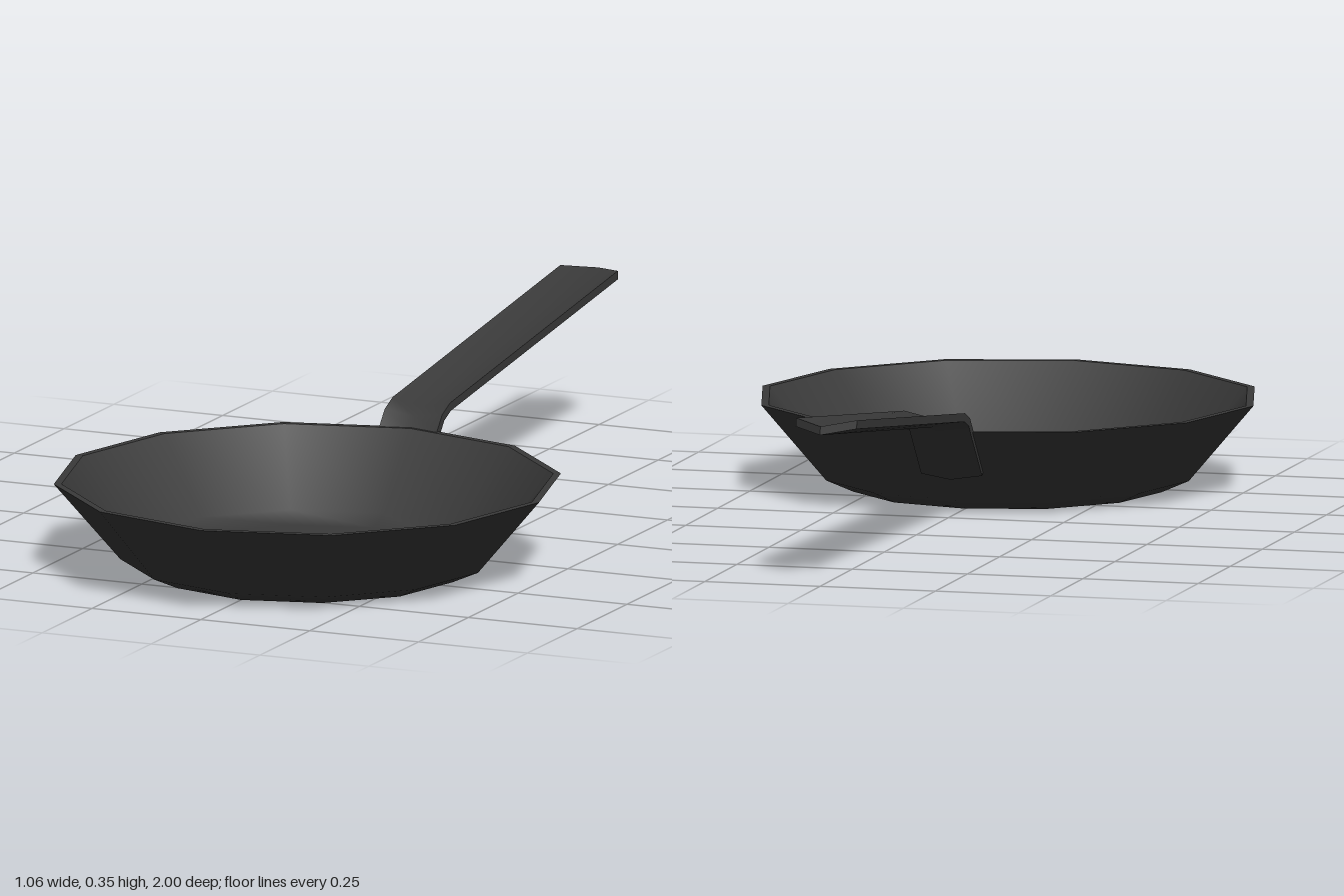
import * as THREE from 'three';
import { toCreasedNormals } from 'three/addons/utils/BufferGeometryUtils.js';

const PAN_Z = 0.465;
const SIDES = 12;

const castIron = new THREE.MeshStandardMaterial({ color: 0x3a3a3a });
castIron.name = 'dark iron';

// One smooth turned surface; each gets its own normals so the rim edges stay sharp
function turned(name, profile) {
  const points = profile.map(([r, y]) => new THREE.Vector2(r, y));
  const mesh = new THREE.Mesh(new THREE.LatheGeometry(points, SIDES), castIron);
  mesh.name = name;
  return mesh;
}

// V-section strap: each section is [z, y of the side edge, normal z, normal y, tip shift z, tip shift y]
function strapGeometry(sections, halfWidth, dip, thickness) {
  const rings = sections.map(([z, y, nz, ny, tz = 0, ty = 0]) => {
    const point = (x, depth, middle) =>
      [x, y + ny * depth + middle * ty, z + nz * depth + middle * tz];
    return [
      point(halfWidth, 0, 0), point(0, dip, 1), point(-halfWidth, 0, 0),
      point(-halfWidth, thickness, 0), point(0, dip + thickness, 1), point(halfWidth, thickness, 0),
    ];
  });
  const positions = [];
  const quad = (a, b, c, d) => positions.push(...a, ...b, ...c, ...a, ...c, ...d);

  // Long faces
  for (let s = 0; s < rings.length - 1; s++) {
    const near = rings[s], far = rings[s + 1];
    for (let i = 0; i < 6; i++) {
      const j = (i + 1) % 6;
      quad(near[i], far[i], far[j], near[j]);
    }
  }
  // End caps
  const first = rings[0], last = rings[rings.length - 1];
  quad(first[0], first[1], first[4], first[5]);
  quad(first[1], first[2], first[3], first[4]);
  quad(last[5], last[4], last[1], last[0]);
  quad(last[4], last[3], last[2], last[1]);

  const geometry = new THREE.BufferGeometry();
  geometry.setAttribute('position', new THREE.Float32BufferAttribute(positions, 3));
  return toCreasedNormals(geometry, 0.65);
}

export function createModel() {
  const model = new THREE.Group();
  model.name = 'fryingPan';

  // Twelve-sided bowl
  const bowl = new THREE.Group();
  bowl.name = 'bowl';
  bowl.position.z = PAN_Z;
  bowl.add(
    turned('outerWall', [[0, 0], [0.333, 0], [0.392, 0.026], [0.532, 0.19]]),
    turned('rim', [[0.532, 0.19], [0.516, 0.19]]),
    turned('innerWall', [[0.516, 0.19], [0.383, 0.036], [0.335, 0.015], [0, 0.015]]),
  );
  model.add(bowl);

  // Handle: hugs the wall, bends over the rim, rises to a pointed tip
  const handle = new THREE.Mesh(strapGeometry([
    [0.039, 0.099, -0.763, -0.647],
    [-0.043, 0.193, -0.763, -0.647],
    [-0.068, 0.222, -0.57, -0.82],
    [-0.107, 0.239, -0.24, -0.97],
    [-0.95, 0.346, -0.122, -0.993, -0.046, 0.005],
  ], 0.066, 0.014, 0.018), castIron);
  handle.name = 'handle';
  model.add(handle);

  return model;
}
